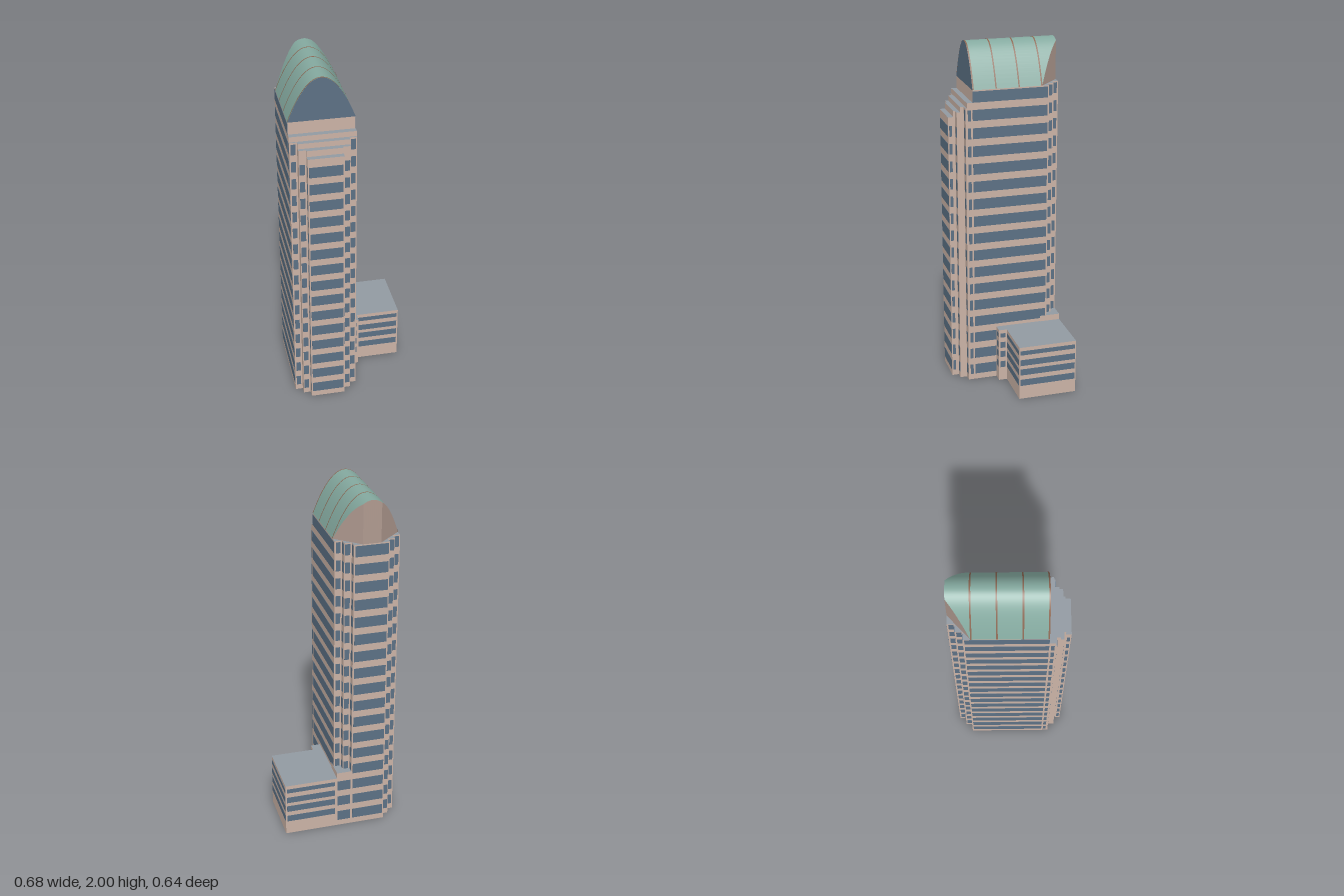
import * as THREE from 'three';
import { mergeGeometries } from 'three/addons/utils/BufferGeometryUtils.js';

const mat = (color, extra = {}) => new THREE.MeshStandardMaterial({ color, ...extra });
const stone = mat(0xcbb3a6), glass = mat(0x5c7185), deck = mat(0x929aa2);
const copper = mat(0x84a99f, { side: THREE.DoubleSide }), rib = mat(0x8a6753, { side: THREE.DoubleSide });
const stoneFlat = mat(0xb09a90, { flatShading: true }), glassFlat = mat(0x5c7185, { flatShading: true });
const topped = [stone, stone, deck, stone, stone, stone]; // grey deck on the top face only

const CX = -0.157, HALF = 0.182;            // tower centre line and half widths of its steps
const MID = 0.14, INNER = 0.099;
const EAVES = 1.76, RIDGE = 2, FRONT = 0.2;

function boxGeo(x0, x1, y0, y1, z0, z1) {
  return new THREE.BoxGeometry(x1 - x0, y1 - y0, z1 - z0)
    .translate((x0 + x1) / 2, (y0 + y1) / 2, (z0 + z1) / 2);
}

function add(group, name, geometry, material) {
  const mesh = new THREE.Mesh(geometry, material);
  mesh.name = name;
  group.add(mesh);
}

// Stacks of window bands, each a thin panel on a wall
const T = 0.0015;
const bandY = (i) => 0.035 + 0.1035 * i;
const towerBands = (n) => Array.from({ length: n }, (_, i) => [bandY(i), bandY(i) + 0.062]);
const podiumBands = [[0.083, 0.122], [0.15, 0.188], [0.21, 0.247], [0.277, 0.303]];
const zWall = (bands, x0, x1, z) => bands.map(([a, b]) => boxGeo(x0, x1, a, b, z - T, z + T));
const xWall = (bands, z0, z1, x) => bands.map(([a, b]) => boxGeo(x - T, x + T, a, b, z0, z1));

// A grid of points (u, v in 0..1) placed by a rule
function surface(rule, nu = 36, nv = 1) {
  const g = new THREE.PlaneGeometry(1, 1, nu, nv);
  const p = g.attributes.position;
  for (let i = 0; i < p.count; i++) p.setXYZ(i, ...rule(p.getX(i) + 0.5, p.getY(i) + 0.5));
  g.computeVertexNormals();
  return g;
}

function buildTower() {
  const tower = new THREE.Group();
  tower.name = 'tower';

  // Shaft, stepped back bays and terraced front bays: half width, height, z range
  const bays = [
    ['shaft', HALF, EAVES, -0.24, FRONT],
    ['backBay', MID, EAVES, -0.28, -0.24],
    ['backBay', INNER, EAVES, -0.32, -0.28],
    ['frontTerrace', HALF, 1.69, FRONT, 0.232],
    ['frontTerrace', HALF, 1.66, 0.232, 0.24],
    ['frontTerrace', MID, 1.66, 0.24, 0.26],
    ['frontTerrace', MID, 1.63, 0.26, 0.28],
    ['frontTerrace', INNER, 1.63, 0.28, 0.29],
    ['frontTerrace', INNER, 1.595, 0.29, 0.32],
  ];
  for (const [name, w, h, z0, z1] of bays)
    add(tower, name, boxGeo(CX - w, CX + w, 0, h, z0, z1), topped);

  // Window bands
  const full = towerBands(17), upper = towerBands(16), lower = towerBands(15);
  const panes = [
    ...zWall(lower, CX - INNER + 0.007, CX + INNER - 0.007, 0.32),
    ...zWall(full, CX - INNER + 0.007, CX + INNER - 0.007, -0.32),
  ];
  for (const s of [-1, 1]) {
    const strip = (bands, a, b, z) =>
      zWall(bands, Math.min(CX + s * a, CX + s * b), Math.max(CX + s * a, CX + s * b), z);
    panes.push(
      ...strip(upper, 0.149, 0.175, 0.24), ...strip(lower, 0.108, 0.136, 0.28),
      ...strip(full, 0.149, 0.175, -0.24), ...strip(full, 0.108, 0.136, -0.28),
      ...xWall(full, -0.232, 0.2, CX + s * HALF),
      ...xWall(upper, 0.21, 0.228, CX + s * HALF),
      ...xWall(lower, 0.298, 0.314, CX + s * INNER),
      ...xWall(full, -0.272, -0.245, CX + s * MID),
      ...xWall(full, -0.312, -0.285, CX + s * INNER),
    );
  }
  add(tower, 'towerWindows', mergeGeometries(panes), glass);
  return tower;
}

function buildRoof() {
  const roof = new THREE.Group();
  roof.name = 'roof';
  const xAt = (u) => CX + (2 * u - 1) * HALF;
  const vault = (u) => RIDGE - (RIDGE - EAVES) * (2 * u - 1) ** 2;
  // Rear edge is cut diagonally at both corners
  const rear = (u) => -0.2 - 0.12 * Math.min(1, (1 - Math.abs(2 * u - 1)) / (13 / 18));
  const mix = THREE.MathUtils.lerp;

  add(roof, 'vault', surface((u, v) => [xAt(u), vault(u), mix(FRONT, rear(u), v)]), copper);
  add(roof, 'frontGable', surface((u, v) => [xAt(u), mix(EAVES, vault(u), v), FRONT]), glassFlat);
  add(roof, 'rearGable', surface((u, v) => [xAt(1 - u), mix(EAVES, vault(u), v), rear(u)]), stoneFlat);
  for (const z of [-0.197, -0.066, 0.066, 0.196])
    add(roof, 'roofRib', surface((u, v) => [
      CX + (xAt(u) - CX) * 1.008, vault(u) + 0.001, z + 0.004 - 0.008 * v]), rib);
  return roof;
}

function buildPodium() {
  const podium = new THREE.Group();
  podium.name = 'podium';
  const top = 0.325, edge = CX + HALF;
  add(podium, 'podiumBlock', boxGeo(edge, 0.335, 0, top, -0.32, 0.02), topped);
  add(podium, 'podiumBay', boxGeo(edge, 0.08, 0, top, 0.02, 0.068), topped);
  // Link filling the stepped corner behind the tower
  add(podium, 'rearLink', boxGeo(CX + INNER, edge + 0.003, 0, 0.36, -0.32, -0.2), topped);
  const panes = [
    ...zWall(podiumBands, 0.085, 0.327, 0.02),
    ...zWall(podiumBands, 0.036, 0.068, 0.068),
    ...zWall(podiumBands, 0.04, 0.327, -0.32),
    ...xWall(podiumBands, -0.314, 0.014, 0.335),
    ...xWall(podiumBands, 0.03, 0.06, 0.08),
    ...zWall(towerBands(3), CX + INNER + 0.007, edge, -0.32),
  ];
  add(podium, 'podiumWindows', mergeGeometries(panes), glass);
  return podium;
}

export function createModel() {
  const model = new THREE.Group();
  model.name = 'officeTower';
  model.add(buildTower(), buildRoof(), buildPodium());
  return model;
}
